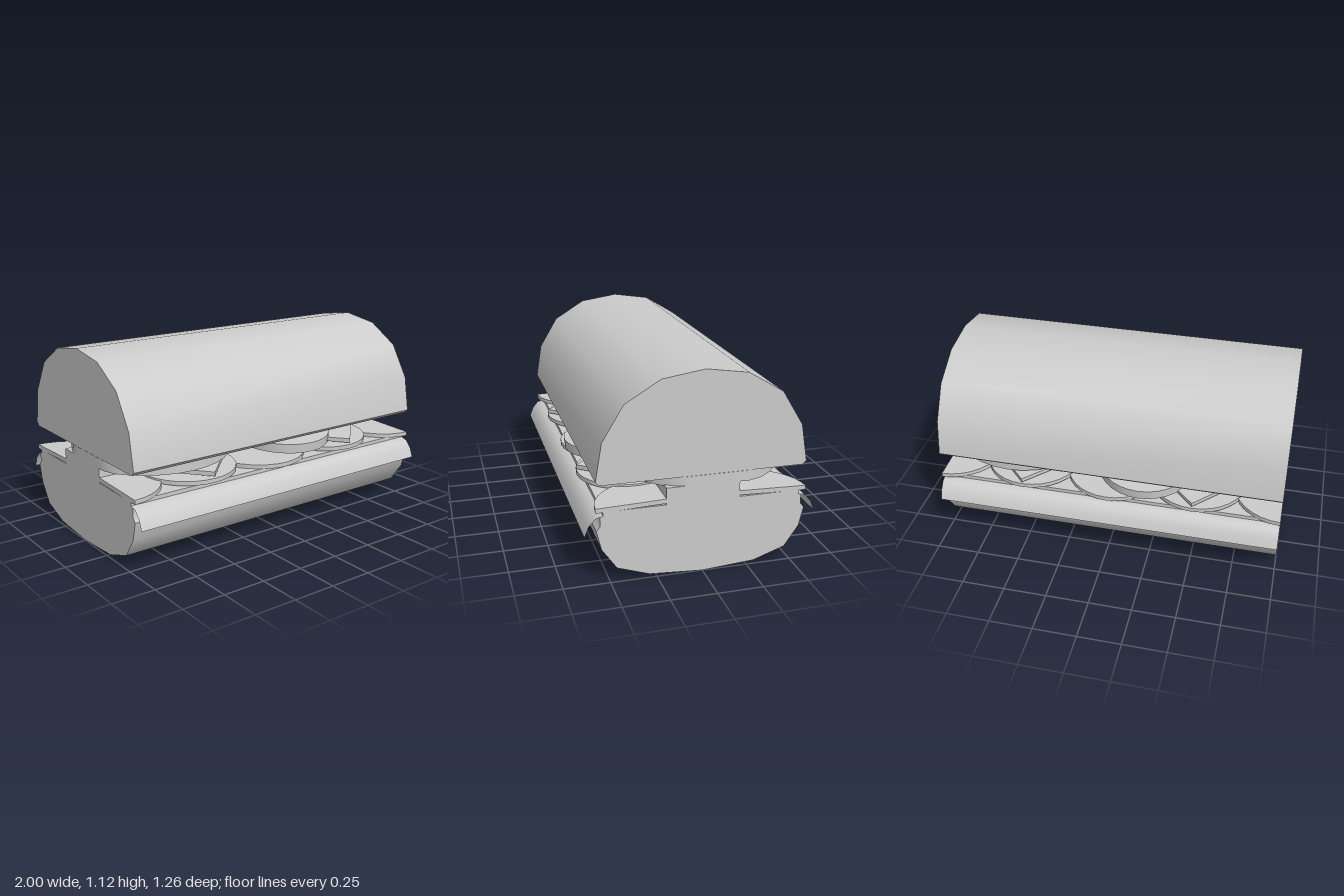
import * as THREE from 'three';
import { toCreasedNormals } from 'three/addons/utils/BufferGeometryUtils.js';

const material = new THREE.MeshStandardMaterial({ color: 0xcccccc });
const thin = new THREE.MeshStandardMaterial({ color: 0xcccccc, side: THREE.DoubleSide });

// Mirrors a half outline (z, y) and runs it along the whole length of the loaf.
function bun(name, half) {
  const left = half.slice().reverse().filter(p => p[0] > 0).map(p => [-p[0], p[1]]);
  const shape = new THREE.Shape([...half, ...left].map(p => new THREE.Vector2(...p)));
  const geometry = new THREE.ExtrudeGeometry(shape, { depth: 2, bevelEnabled: false });
  geometry.translate(0, 0, -1).rotateY(Math.PI / 2);
  const mesh = new THREE.Mesh(toCreasedNormals(geometry, 0.75), material);
  mesh.name = name;
  return mesh;
}

// A flat slice trimmed at both cut ends; 4 sides give a slice with its corner forward.
function slice(name, { x, z, r, top, thick, sides = 32, tilt = 0 }) {
  const points = [];
  for (let i = 0; i < sides; i++) {
    const a = i / sides * Math.PI * 2;
    points.push(new THREE.Vector2(
      THREE.MathUtils.clamp(x + r * Math.cos(a), -1, 1), r * Math.sin(a)));
  }
  const geometry = new THREE.ExtrudeGeometry(new THREE.Shape(points), { depth: thick, bevelEnabled: false });
  geometry.rotateX(Math.PI / 2);
  const mesh = new THREE.Mesh(toCreasedNormals(geometry, 0.5), material);
  mesh.name = name;
  mesh.rotation.x = tilt;
  mesh.position.set(0, top, z);
  return mesh;
}

// Thin leaf hanging over the long edge of the lower bun.
function leaf() {
  const profile = [[0.38, 0.4], [0.53, 0.385], [0.575, 0.37], [0.61, 0.33], [0.632, 0.273]];
  const positions = [], index = [];
  profile.forEach(([z, y], i) => {
    positions.push(-1, y, z, 1, y, z);
    if (i) {
      const k = i * 2;
      index.push(k - 2, k, k - 1, k - 1, k, k + 1);
    }
  });
  const geometry = new THREE.BufferGeometry();
  geometry.setAttribute('position', new THREE.Float32BufferAttribute(positions, 3));
  geometry.setIndex(index);
  geometry.computeVertexNormals();
  const mesh = new THREE.Mesh(geometry, thin);
  mesh.name = 'hangingLeaf';
  return mesh;
}

// Filling for one long side; the other side is the same turned half round.
function fillingSide(name) {
  const side = new THREE.Group();
  side.name = name;
  side.add(leaf());
  // Overlapping row of small round slices
  for (let i = 0; i < 5; i++) {
    side.add(slice('roundSlice', {
      x: -1 + i * 0.5, z: 0.287, r: 0.287, top: i % 2 ? 0.445 : 0.435, thick: 0.025, tilt: 0.03,
    }));
  }
  // Cheese with corners pointing outwards
  for (const x of [-0.5, 0.5]) {
    side.add(slice('cheeseSlice', {
      x, z: 0.12, r: 0.455, top: 0.495, thick: 0.025, sides: 4, tilt: 0.05,
    }));
  }
  // Flat wide slice, and a smaller one slipping out
  side.add(slice('wideSlice', { x: -0.6, z: 0.08, r: 0.45, top: 0.549, thick: 0.058 }));
  side.add(slice('tiltedSlice', { x: 0.19, z: 0.3, r: 0.285, top: 0.535, thick: 0.055, tilt: 0.08 }));
  return side;
}

export function createModel() {
  const model = new THREE.Group();
  model.name = 'sandwich';
  model.add(bun('lowerBun', [
    [0, 0], [0.29, 0.02], [0.465, 0.08], [0.545, 0.195], [0.57, 0.3],
    [0.55, 0.325], [0.55, 0.378], [0.535, 0.38], [0.535, 0.405],
  ]));
  model.add(bun('upperBun', [
    [0.55, 0.55], [0.57, 0.57], [0.535, 0.775], [0.42, 0.965], [0.23, 1.08], [0, 1.115],
  ]));

  // Layer between the two rows of slices
  const core = new THREE.Mesh(new THREE.BoxGeometry(2, 0.1, 0.4), material);
  core.name = 'fillingCore';
  core.position.y = 0.448;
  model.add(core);

  const front = fillingSide('frontFilling');
  const back = fillingSide('backFilling');
  back.rotation.y = Math.PI;
  model.add(front, back);
  return model;
}
